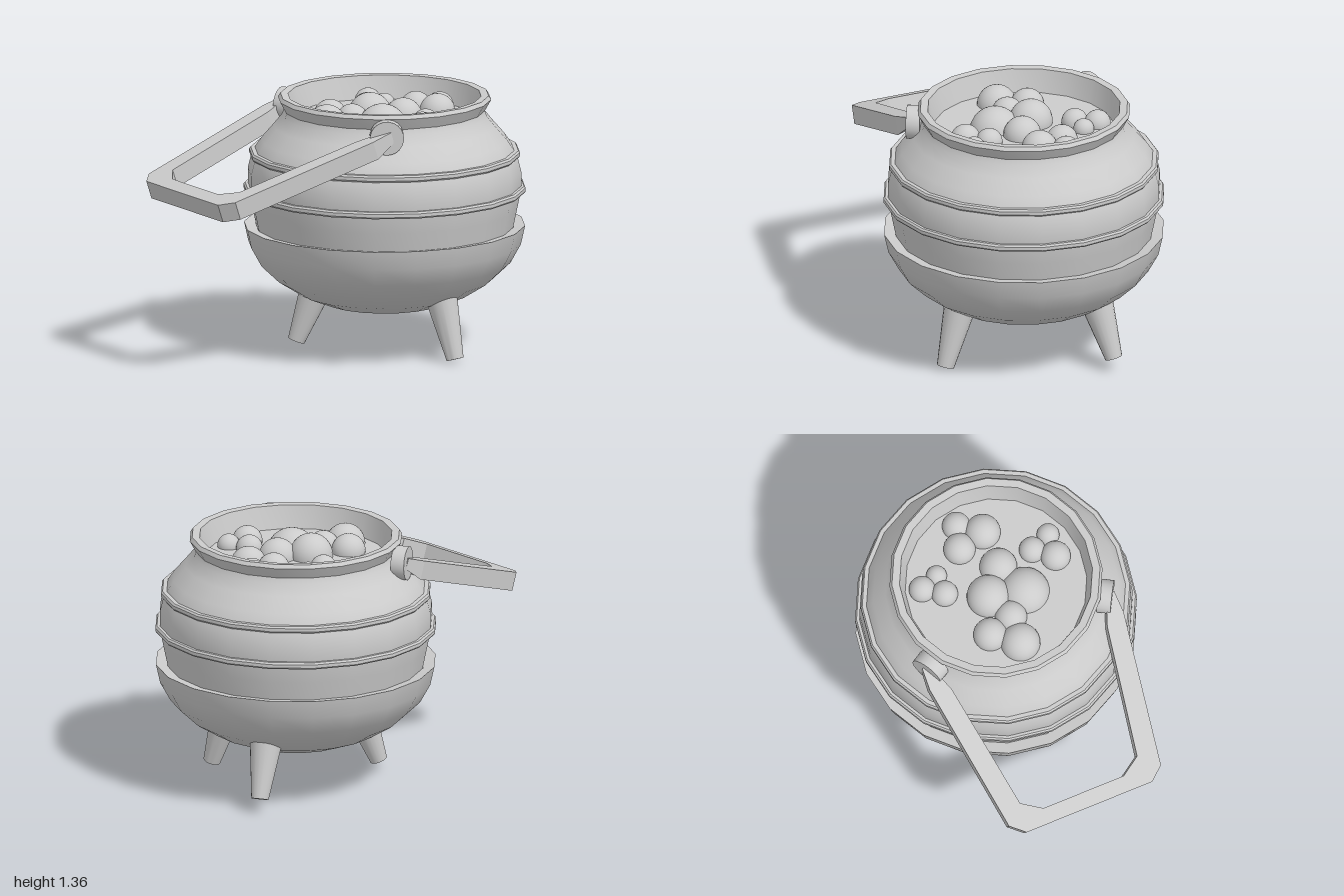
import * as THREE from 'three';
import { toCreasedNormals } from 'three/addons/utils/BufferGeometryUtils.js';

const SIDES = 20;
const CENTER_X = 0.25;

export function createModel() {
  const model = new THREE.Group();
  const material = new THREE.MeshStandardMaterial({ color: 0xcccccc });
  const twoSided = new THREE.MeshStandardMaterial({ color: 0xcccccc, side: THREE.DoubleSide });

  const add = (name, geometry, mat = material) => {
    const mesh = new THREE.Mesh(geometry, mat);
    mesh.name = name;
    model.add(mesh);
    return mesh;
  };

  // Revolved part on the pot's axis, from [radius, height] pairs going up the outside
  const lathe = (name, profile, crease = 0.6) => {
    const points = profile.map(([r, y]) => new THREE.Vector2(r, y));
    const geometry = toCreasedNormals(new THREE.LatheGeometry(points, SIDES), crease);
    add(name, geometry, twoSided).position.x = CENTER_X;
  };

  // Tapered round bar between two points
  const up = new THREE.Vector3(0, 1, 0);
  const bar = (name, from, to, rFrom, rTo, sides) => {
    const a = new THREE.Vector3(...from), b = new THREE.Vector3(...to);
    const dir = b.clone().sub(a);
    const geometry = new THREE.CylinderGeometry(rTo, rFrom, dir.length(), sides);
    const mesh = add(name, toCreasedNormals(geometry, 0.8));
    mesh.position.copy(a).add(b).multiplyScalar(0.5);
    mesh.quaternion.setFromUnitVectors(up, dir.normalize());
  };

  // Bowl with a ledge around its top
  lathe('bowl', [[0, 0.21], [0.15, 0.217], [0.31, 0.25], [0.45, 0.305], [0.57, 0.38],
    [0.665, 0.47], [0.72, 0.57], [0.742, 0.67], [0.68, 0.66]]);

  // Upper wall, neck, flared rim and inside wall
  lathe('body', [[0.675, 0.64], [0.7, 0.76], [0.722, 0.87], [0.722, 0.96], [0.7, 1.05],
    [0.65, 1.125], [0.585, 1.2], [0.54, 1.255], [0.53, 1.285], [0.563, 1.345],
    [0.55, 1.365], [0.51, 1.362], [0.475, 1.22]]);

  // Raised bands around the body
  for (const [y, r] of [[0.865, 0.745], [1.055, 0.715]]) {
    lathe('band', [[r - 0.06, y - 0.018], [r - 0.006, y - 0.018], [r, y - 0.01],
      [r, y + 0.008], [r - 0.008, y + 0.018], [r - 0.06, y + 0.018]]);
  }

  // Liquid surface
  const liquid = add('liquid', new THREE.CircleGeometry(0.482, SIDES));
  liquid.rotation.x = -Math.PI / 2;
  liquid.position.set(CENTER_X, 1.24, 0);

  // Bubbles: x, z, radius
  const bubbles = [
    [-0.1, -0.01, 0.105], [0, -0.14, 0.09], [0.05, 0, 0.085], [0.2, -0.065, 0.115],
    [0.16, 0.125, 0.135], [0.335, 0.05, 0.1], [0.375, -0.37, 0.07], [0.305, -0.27, 0.07],
    [0.415, -0.27, 0.055], [0.505, -0.1, 0.085], [0.63, -0.065, 0.075], [0.545, 0.05, 0.095],
    [0.35, 0.25, 0.07], [0.27, 0.35, 0.08], [0.395, 0.36, 0.06],
  ];
  for (const [x, z, r] of bubbles) {
    const y = Math.min(1.25, 1.345 - r);
    add('bubble', new THREE.SphereGeometry(r, 24, 16)).position.set(x, r === 0.115 ? 1.253 : y, z);
  }

  // Three splayed legs
  const legs = [
    [[0.345, 0.33, 0.42], [0.37, 0.018, 0.515]],
    [[-0.1, 0.34, -0.12], [-0.19, 0.06, -0.17]],
    [[0.68, 0.35, -0.225], [0.77, 0.075, -0.275]],
  ];
  for (const [top, foot] of legs) bar('leg', top, foot, 0.085, 0.046, 18);

  // Hinge discs on the neck
  for (const s of [1, -1]) {
    bar('hinge', [-0.025, 1.255, s * 0.47], [-0.062, 1.255, s * 0.533], 0.09, 0.09, 20);
  }

  // Swing handle: a flat U with bevelled corners, hanging out to one side
  const outer = [[-0.02, 0.55], [0.1, 0.555], [0.92, 0.435], [0.985, 0.36]];
  const inner = [[0.9, 0.23], [0.83, 0.335], [0.14, 0.445], [-0.02, 0.505]];
  const mirror = (points) => points.map(([u, w]) => [u, -w]).reverse();
  const outline = [...outer, ...mirror(outer), ...mirror(inner), ...inner];
  const shape = new THREE.Shape(outline.map(([u, w]) => new THREE.Vector2(-u, w)));
  const handle = new THREE.ExtrudeGeometry(shape, { depth: 0.1, bevelEnabled: false });
  handle.translate(0, 0, -0.05);
  handle.rotateX(-Math.PI / 2);
  // Narrow the arms toward the hinges
  const pos = handle.attributes.position;
  for (let i = 0; i < pos.count; i++) {
    if (pos.getX(i) > -0.05) pos.setY(i, pos.getY(i) * 0.6 + 0.02);
  }
  handle.rotateZ(THREE.MathUtils.degToRad(18.5));
  handle.computeVertexNormals();
  add('handle', handle).position.set(-0.05, 1.235, 0);

  return model;
}
